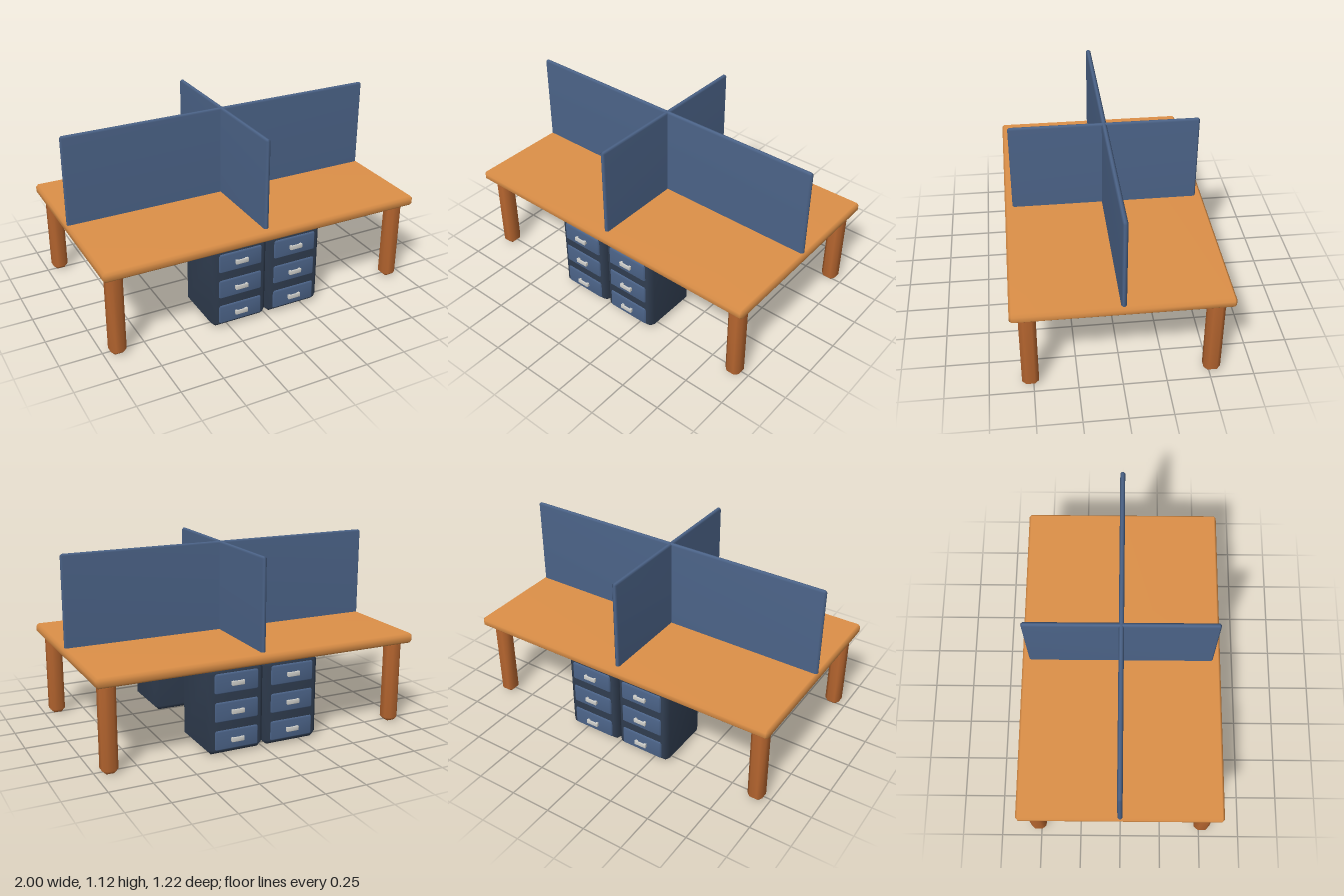
import * as THREE from 'three';
import { mergeVertices } from 'three/addons/utils/BufferGeometryUtils.js';
import { ConvexGeometry } from 'three/addons/geometries/ConvexGeometry.js';

const material = (name, color) => {
  const m = new THREE.MeshStandardMaterial({ color });
  m.name = name;
  return m;
};

// Box with chamfered edges and smooth shading across the chamfers
function bevelBox(w, h, d, b) {
  const half = [w / 2, h / 2, d / 2];
  const points = [];
  for (let axis = 0; axis < 3; axis++)
    for (const sx of [-1, 1]) for (const sy of [-1, 1]) for (const sz of [-1, 1]) {
      const s = [sx, sy, sz];
      points.push(new THREE.Vector3(...half.map((v, i) => s[i] * (i === axis ? v : v - b))));
    }
  let g = new ConvexGeometry(points);
  g.deleteAttribute('normal');
  g = mergeVertices(g, 1e-5);
  g.computeVertexNormals();
  return g;
}

export function createModel() {
  const wood = material('light wood', 0xdd9048);
  const legWood = material('dark wood', 0xb5652f);
  const blue = material('blue panel', 0x4c6489);
  const navy = material('dark blue', 0x303d50);
  const metal = material('light metal', 0xd0d0cc);

  const model = new THREE.Group();
  model.name = 'workstation';
  const add = (parent, name, geometry, mat, x, y, z) => {
    const mesh = new THREE.Mesh(geometry, mat);
    mesh.name = name;
    mesh.position.set(x, y, z);
    parent.add(mesh);
    return mesh;
  };

  // Desk top
  add(model, 'tabletop', bevelBox(2, 0.06, 1.22, 0.014), wood, 0, 0.54, 0);

  // Crossed divider panels
  add(model, 'longDivider', bevelBox(1.985, 0.555, 0.03, 0.01), blue, -0.003, 0.8375, 0);
  add(model, 'crossDivider', bevelBox(0.03, 0.555, 1.13, 0.01), blue, 0, 0.8375, -0.002);

  // Four legs
  const legGeometry = bevelBox(0.093, 0.515, 0.096, 0.024);
  for (const x of [-0.917, 0.917])
    for (const z of [-0.517, 0.517])
      add(model, 'leg', legGeometry, legWood, x, 0.2575, z);

  // Drawer cabinets, one pair on each long side
  const cabinetGeometry = bevelBox(0.354, 0.51, 0.365, 0.03);
  const drawerGeometry = bevelBox(0.272, 0.118, 0.03, 0.009);
  const gripGeometry = bevelBox(0.08, 0.028, 0.01, 0.003);
  const postGeometry = new THREE.BoxGeometry(0.014, 0.022, 0.016);

  for (const side of [1, -1]) {
    const pair = new THREE.Group();
    pair.name = side > 0 ? 'frontCabinets' : 'backCabinets';
    pair.rotation.y = side > 0 ? 0 : Math.PI;
    model.add(pair);
    for (const x of [-0.177, 0.177]) {
      add(pair, 'cabinet', cabinetGeometry, navy, x, 0.26, 0.3975);
      for (const y of [0.092, 0.26, 0.428]) {
        add(pair, 'drawerFront', drawerGeometry, blue, x, y, 0.574);
        // Handle on two short posts
        add(pair, 'handleGrip', gripGeometry, metal, x, y, 0.602);
        for (const dx of [-0.031, 0.031])
          add(pair, 'handlePost', postGeometry, metal, x + dx, y, 0.594);
      }
    }
  }
  return model;
}
